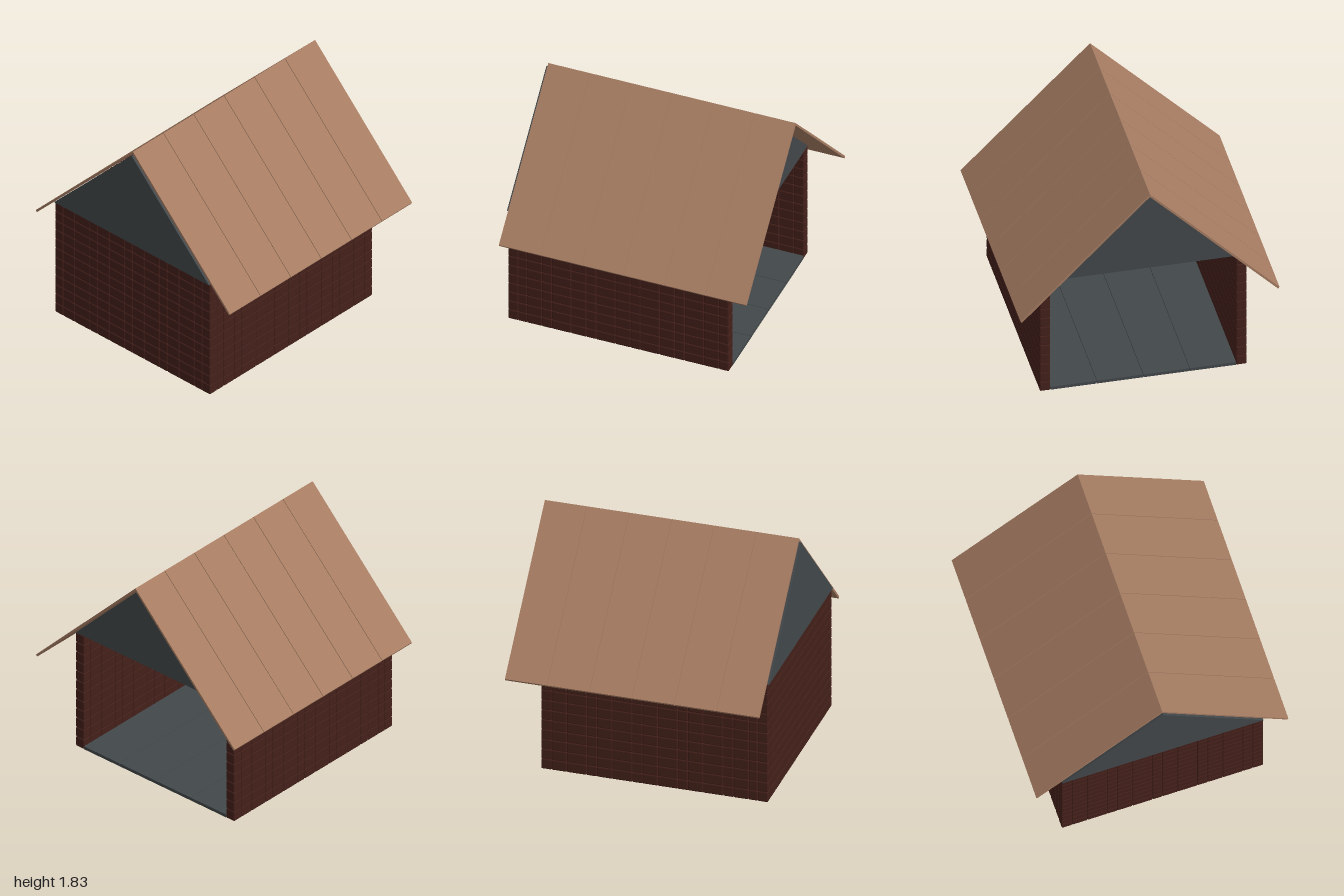
import * as THREE from 'three';
import { mergeGeometries } from 'three/addons/utils/BufferGeometryUtils.js';
import { RoundedBoxGeometry } from 'three/addons/geometries/RoundedBoxGeometry.js';

const brickMat = new THREE.MeshStandardMaterial({ color: 0x44201a, flatShading: true });
const boardMat = new THREE.MeshStandardMaterial({ color: 0x42474a, flatShading: true });
const roofMat = new THREE.MeshStandardMaterial({ color: 0xa67c62, flatShading: true });

const WALL_H = 1.0, ROWS = 12, THICK = 0.08;
const HALF_W = 0.79, FRONT = 0.99, BACK = -0.78;
const ROW_H = WALL_H / ROWS;

// Joint positions along a wall: a repeating header / short / long rhythm
function joints(start, end) {
  const out = [];
  for (let p = start; p < end; p += 0.355) {
    for (const o of [0, 0.08, 0.2]) if (p + o < end - 0.03) out.push(p + o);
  }
  out.push(end);
  return out;
}

// Wall of chamfered bricks along local x, centred on z = 0
function brickWall(name, start, end) {
  const cuts = joints(start, end);
  const bricks = [];
  for (let i = 0; i < cuts.length - 1; i++) {
    const w = cuts[i + 1] - cuts[i];
    const brick = new RoundedBoxGeometry(w, ROW_H, THICK, 1, 0.008);
    for (let r = 0; r < ROWS; r++) {
      bricks.push(brick.clone().translate(cuts[i] + w / 2, (r + 0.5) * ROW_H, 0));
    }
  }
  const wall = new THREE.Mesh(mergeGeometries(bricks), brickMat);
  wall.name = name;
  return wall;
}

// Flat outline pushed from z0 to z1
function slab(name, points, z0, z1, mat) {
  const shape = new THREE.Shape(points.map(([x, y]) => new THREE.Vector2(x, y)));
  const geo = new THREE.ExtrudeGeometry(shape, { depth: z1 - z0, bevelEnabled: false });
  const mesh = new THREE.Mesh(geo.translate(0, 0, z0), mat);
  mesh.name = name;
  return mesh;
}

export function createModel() {
  const model = new THREE.Group();
  model.name = 'house';

  // Brick walls on the front and both sides; the back stays open
  const front = brickWall('frontWall', -HALF_W, HALF_W);
  front.position.z = FRONT - THICK / 2;
  model.add(front);
  for (const [name, s] of [['leftWall', 1], ['rightWall', -1]]) {
    const wall = brickWall(name, BACK, FRONT - THICK);
    wall.rotation.y = -Math.PI / 2;
    wall.position.x = s * (HALF_W - THICK / 2);
    model.add(wall);
  }

  // Floor planks running front to back
  const floor = new THREE.Group();
  floor.name = 'floor';
  const inner = HALF_W - THICK, planks = 4, pw = (2 * inner) / planks;
  for (let i = 0; i < planks; i++) {
    const depth = FRONT - THICK - BACK;
    const plank = new THREE.Mesh(new THREE.BoxGeometry(pw - 0.003, 0.025, depth), boardMat);
    plank.name = 'floorPlank';
    plank.position.set(-inner + (i + 0.5) * pw, 0.015, BACK + depth / 2);
    floor.add(plank);
  }
  model.add(floor);

  // Triangular gables above the front wall and the back opening
  const gable = [[-HALF_W, WALL_H], [HALF_W, WALL_H], [0, 1.8]];
  model.add(slab('frontGable', gable, 0.97, 1.0, boardMat));
  model.add(slab('backGable', gable, BACK, BACK + 0.03, boardMat));

  // Roof: thin gabled strips side by side, overhanging the eaves and the back
  const roof = new THREE.Group();
  roof.name = 'roof';
  const chevron = [[0, 1.83], [-0.99, 0.825], [-0.98, 0.81], [0, 1.807], [0.98, 0.81], [0.99, 0.825]];
  const strips = 6, z0 = -1, depth = 1.985 / strips;
  for (let i = 0; i < strips; i++) {
    const gap = i < strips - 1 ? 0.004 : 0;
    roof.add(slab('roofStrip', chevron, z0 + i * depth, z0 + (i + 1) * depth - gap, roofMat));
  }
  model.add(roof);

  return model;
}
